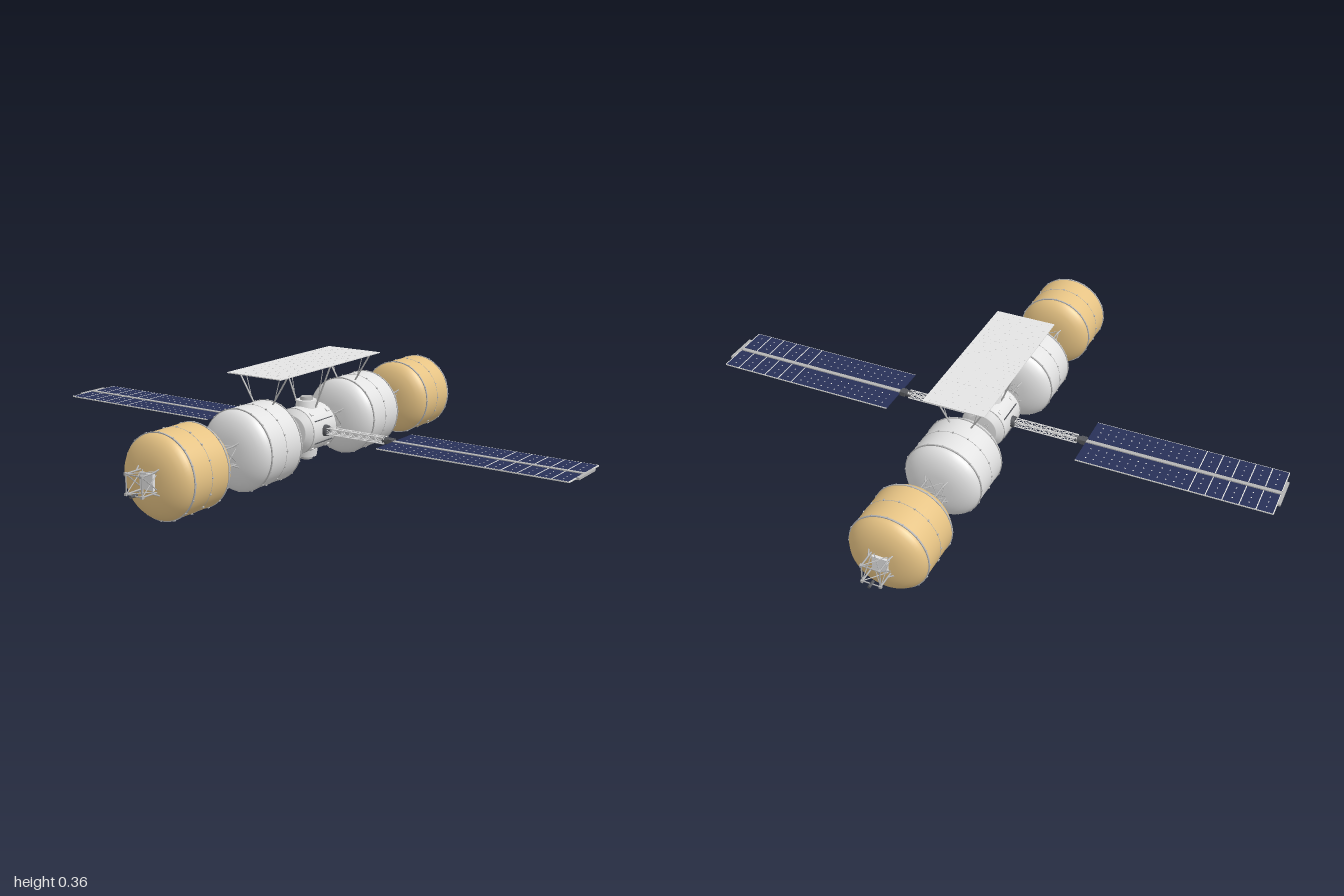
import * as THREE from 'three';
import { mergeGeometries } from 'three/addons/utils/BufferGeometryUtils.js';

const Y = 0.137; // height of the main axis
const V = (x, y, z) => new THREE.Vector3(x, y, z);

// Geometry helpers
const box = (w, h, d, x = 0, y = 0, z = 0) => new THREE.BoxGeometry(w, h, d).translate(x, y, z);
function rod(a, b, r, sides = 6) {
  const dir = b.clone().sub(a);
  const q = new THREE.Quaternion().setFromUnitVectors(V(0, 1, 0), dir.clone().normalize());
  const mid = a.clone().add(b).multiplyScalar(0.5);
  return new THREE.CylinderGeometry(r, r, dir.length(), sides).applyQuaternion(q).translate(mid.x, mid.y, mid.z);
}
// Solid of revolution round z; points are [radius, z]
const lathe = (pts, sides = 48) =>
  new THREE.LatheGeometry(pts.map(p => new THREE.Vector2(...p)), sides).rotateX(Math.PI / 2);

// Square lattice truss along z
function truss(z0, z1, h, bays, r) {
  const out = [], c = [[-h, -h], [h, -h], [h, h], [-h, h]];
  const step = (z1 - z0) / bays;
  c.forEach(([x, y], i) => {
    const [u, v] = c[(i + 1) % 4];
    out.push(rod(V(x, y, z0), V(x, y, z1), r));
    for (let k = 0; k <= bays; k++) {
      const z = z0 + k * step;
      out.push(rod(V(x, y, z), V(u, v, z), r * 0.8, 5));
      if (k === bays) continue;
      out.push(rod(V(x, y, z), V(u, v, z + step), r * 0.6, 5));
      out.push(rod(V(u, v, z), V(x, y, z + step), r * 0.6, 5));
    }
  });
  return out;
}

export function createModel() {
  const mat = (name, color) => Object.assign(new THREE.MeshStandardMaterial({ color }), { name });
  const gold = mat('gold foil', 0xe6c384);
  const white = mat('pale hull', 0xe2e2e2);
  const panelGrey = mat('radiator grey', 0xe4e4e4);
  const metal = mat('truss metal', 0xb4b4b4);
  const dark = mat('dark fittings', 0x55575c);
  const navy = mat('solar cells', 0x283058);
  const line = mat('cell borders', 0xe4e4e0);

  const model = new THREE.Group();
  model.name = 'spaceStation';
  const core = new THREE.Group();
  core.name = 'stationBody';
  core.position.y = Y;
  model.add(core);
  const part = (parent, name, material, geos) => {
    const m = new THREE.Mesh(mergeGeometries(geos), material);
    m.name = name;
    parent.add(m);
  };

  // Inflated tanks with slim straps and studs
  const dome = [[0, 0.128], [0.045, 0.127], [0.075, 0.122], [0.1, 0.113], [0.118, 0.101], [0.128, 0.088], [0.132, 0.075]];
  const profile = [...dome.map(([r, z]) => [r, -z]), ...dome.slice().reverse()];
  function tank(name, z, skin) {
    const g = new THREE.Group();
    g.name = name;
    g.position.z = z;
    core.add(g);
    part(g, 'tankShell', skin, [lathe(profile, 64)]);
    part(g, 'tankStraps', metal, [-0.077, 0.077].map(s =>
      new THREE.CylinderGeometry(0.1338, 0.1338, 0.005, 64, 1).rotateX(Math.PI / 2).translate(0, 0, s)));
    part(g, 'tankSeam', metal, [new THREE.TorusGeometry(0.132, 0.0009, 6, 64)]);
    const studs = [];
    for (const s of [-0.077, 0, 0.077]) for (let i = 0; i < 16; i++)
      studs.push(box(0.004, 0.004, 0.006, 0, 0.1335, s).rotateZ(i * Math.PI / 8));
    part(g, 'tankStuds', metal, studs);
    // Clamps round the truss roots
    const clamps = [];
    for (const s of [-1, 1]) for (let i = 0; i < 4; i++) {
      const a = (i + 0.5) * Math.PI / 2;
      clamps.push(rod(V(0.055 * Math.cos(a), 0.055 * Math.sin(a), s * 0.124),
        V(0.042 * Math.cos(a), 0.042 * Math.sin(a), s * 0.145), 0.0025));
    }
    part(g, 'tankEndClamps', metal, clamps);
  }
  for (const s of [-1, 1]) {
    const end = s > 0 ? 'front' : 'rear';
    tank(end + 'InnerTank', s * 0.293, white);
    tank(end + 'OuterTank', s * 0.658, gold);

    // Linking trusses and the free end
    part(core, end + 'Trusses', metal, [
      ...truss(s * 0.08, s * 0.175, 0.028, 2, 0.0028),
      ...truss(s * 0.41, s * 0.54, 0.03, 2, 0.0028),
      ...truss(s * 0.775, s * 0.846, 0.03, 1, 0.0028),
    ]);
    part(core, end + 'EndPlate', white, [box(0.05, 0.05, 0.01, 0, 0, s * 0.79)]);
    const corners = [];
    for (const x of [-0.03, 0.03]) for (const y of [-0.03, 0.03])
      corners.push(box(0.008, 0.008, 0.01, x, y, s * 0.846));
    part(core, end + 'EndCorners', metal, corners);
    part(core, end + 'EndProbe', dark, [rod(V(0, -0.03, s * 0.835), V(0, -0.03, s * 0.862), 0.005, 8)]);
  }

  // Central hub
  const hub = new THREE.Group();
  hub.name = 'centralHub';
  core.add(hub);
  part(hub, 'hubShell', white, [lathe([[0, -0.086], [0.055, -0.086], [0.055, -0.082], [0.076, -0.068], [0.078, -0.06],
    [0.078, 0.06], [0.076, 0.068], [0.055, 0.082], [0.055, 0.086], [0, 0.086]], 32)]);
  part(hub, 'hubBands', metal, [-0.066, 0.066].map(z => new THREE.TorusGeometry(0.0772, 0.0014, 6, 40).translate(0, 0, z)));
  // Docking ports above and below
  const collars = [], hatches = [];
  for (const a of [0, Math.PI]) {
    collars.push(new THREE.CylinderGeometry(0.034, 0.038, 0.026, 24).translate(0, 0.083, 0).rotateZ(a));
    hatches.push(new THREE.CylinderGeometry(0.02, 0.022, 0.012, 20).translate(0, 0.101, 0).rotateZ(a));
  }
  part(hub, 'dockingCollars', white, collars);
  part(hub, 'dockingHatches', metal, hatches);
  // Boom sockets, handrails and small equipment boxes on the sides
  const sockets = [], rails = [], equipment = [];
  for (const a of [Math.PI / 2, -Math.PI / 2]) {
    sockets.push(new THREE.CylinderGeometry(0.018, 0.02, 0.014, 20).translate(0, 0.082, 0).rotateZ(a));
    for (const t of [-0.5, 0.5]) {
      rails.push(box(0.003, 0.004, 0.1, 0, 0.0785, 0).rotateZ(a + t));
      for (const z of [-0.045, 0.045])
        equipment.push(box(0.012, 0.008, 0.014, 0, 0.077, z).rotateZ(a + t * 1.7));
    }
  }
  part(hub, 'boomSockets', dark, sockets);
  part(hub, 'hubRails', dark, rails);
  part(hub, 'hubEquipment', white, equipment);

  // Radiator deck: flat plate with a staggered pattern of low pads, carried on struts
  const deck = [box(0.212, 0.003, 0.58, 0, 0.222, 0)];
  for (let j = 0; j < 28; j++) for (let i = 0; i < 10; i++)
    deck.push(new THREE.CylinderGeometry(0.004, 0.004, 0.0006, 6)
      .translate(-0.097 + i * 0.0205 + (j % 2) * 0.01, 0.2236, -0.276 + j * 0.0204));
  part(core, 'radiatorPanel', panelGrey, deck);
  const struts = [];
  for (const x of [-1, 1]) for (const z of [-0.24, 0, 0.24]) {
    const foot = z ? 0.122 : 0.07;
    struts.push(rod(V(x * 0.096, 0.22, z), V(x * 0.035, foot, z), 0.0028));
    struts.push(rod(V(x * 0.068, 0.22, z), V(x * 0.045, foot + 0.015, z), 0.0015));
  }
  part(core, 'radiatorStruts', metal, struts);

  // Solar wings, built towards +x and turned round for the other side
  for (const s of [1, -1]) {
    const wing = new THREE.Group();
    wing.name = s > 0 ? 'leftSolarWing' : 'rightSolarWing';
    wing.rotation.y = s > 0 ? 0 : Math.PI;
    core.add(wing);
    part(wing, 'wingBoom', white, truss(0.08, 0.31, 0.01, 7, 0.002).map(g => g.rotateY(Math.PI / 2)));
    part(wing, 'wingJoint', dark, [
      rod(V(0.305, 0, 0), V(0.33, 0, 0), 0.012, 12),
      box(0.02, 0.016, 0.026, 0.332, 0, 0),
    ]);
    part(wing, 'wingSpar', metal, [box(0.66, 0.006, 0.014, 0.665, 0, 0), box(0.01, 0.007, 0.12, 0.995, 0, 0)]);
    part(wing, 'solarBlankets', navy, [-1, 1].map(z => box(0.648, 0.003, 0.098, 0.666, 0, z * 0.059)));
    // Fold lines on the outer half, light dots at the cell corners throughout
    const grid = [];
    for (const z of [-1, 1]) {
      for (let k = 7; k <= 12; k++)
        grid.push(box(0.003, 0.004, 0.098, 0.3435 + k * 0.0538, 0, z * 0.059));
      for (let k = 1; k <= 23; k++) for (const d of [0.034, 0.059, 0.084])
        grid.push(box(0.004, 0.004, 0.004, 0.3435 + k * 0.0269, 0, z * d));
      grid.push(box(0.648, 0.004, 0.0015, 0.666, 0, z * 0.108));
    }
    part(wing, 'cellBorders', line, grid);
  }
  return model;
}
